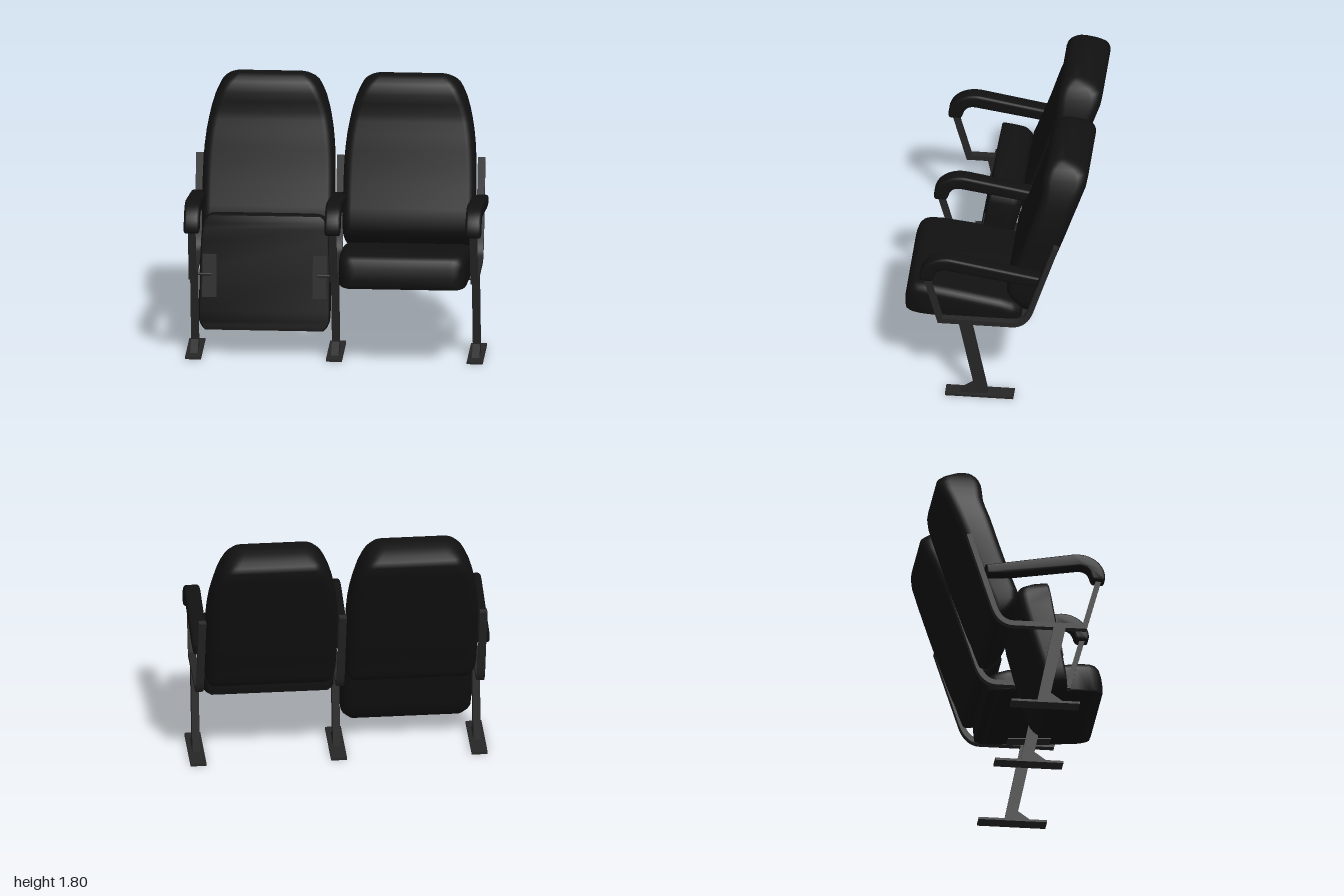
import * as THREE from 'three';
import { mergeVertices, toCreasedNormals } from 'three/addons/utils/BufferGeometryUtils.js';

const fabric = new THREE.MeshStandardMaterial({ color: 0x111111 });
const metal = new THREE.MeshStandardMaterial({ color: 0x262626 });

function part(name, geometry, material, x = 0, y = 0, z = 0) {
  const mesh = new THREE.Mesh(geometry, material);
  mesh.name = name;
  mesh.position.set(x, y, z);
  return mesh;
}

// Rounded-rectangle sections stacked along z; row = [z, yLow, yHigh, halfWidth]
function loft(rows, radiusLow, radiusHigh) {
  const steps = 6, pos = [], index = [];
  for (const [s, lo, hi, half] of rows) {
    const rl = Math.min(radiusLow, (hi - lo) * 0.48);
    const rh = Math.min(radiusHigh, (hi - lo) * 0.5);
    const corners = [[half - rh, hi - rh, rh], [-half + rh, hi - rh, rh],
      [-half + rl, lo + rl, rl], [half - rl, lo + rl, rl]];
    corners.forEach(([cx, cy, r], c) => {
      for (let i = 0; i <= steps; i++) {
        const a = (c + i / steps) * Math.PI / 2;
        pos.push(cx + r * Math.cos(a), cy + r * Math.sin(a), s);
      }
    });
  }
  const n = 4 * (steps + 1), last = rows.length - 1;
  for (let j = 0; j < last; j++) {
    for (let k = 0; k < n; k++) {
      const a = j * n + k, b = j * n + (k + 1) % n;
      index.push(a, b, b + n, a, b + n, a + n);
    }
  }
  // End caps
  for (const j of [0, last]) {
    const [s, lo, hi] = rows[j], centre = pos.length / 3;
    pos.push(0, (lo + hi) / 2, s);
    for (let k = 0; k < n; k++) {
      const a = j * n + k, b = j * n + (k + 1) % n;
      if (j) index.push(centre, a, b); else index.push(centre, b, a);
    }
  }
  const g = new THREE.BufferGeometry();
  g.setAttribute('position', new THREE.Float32BufferAttribute(pos, 3));
  g.setIndex(index);
  return toCreasedNormals(mergeVertices(g), 0.95);
}

// Side outline in (z, y), extruded across x and centred
function sideExtrude(shape, width, bevel = 0) {
  const depth = width - 2 * bevel;
  const g = new THREE.ExtrudeGeometry(shape, {
    depth, curveSegments: 10, bevelEnabled: bevel > 0,
    bevelSize: bevel, bevelThickness: bevel, bevelOffset: -bevel, bevelSegments: 4,
  });
  g.translate(0, 0, -depth / 2).rotateY(-Math.PI / 2);
  return toCreasedNormals(g, 0.6);
}

// Flat bar of constant thickness following a path
function ribbon(path, thickness) {
  const pts = path.getPoints(8), a = [], b = [];
  pts.forEach((p, i) => {
    const d0 = p.clone().sub(pts[Math.max(i - 1, 0)]).normalize();
    const d1 = pts[Math.min(i + 1, pts.length - 1)].clone().sub(p).normalize();
    const t = d0.clone().add(d1).normalize();
    const cos = t.dot(d1.lengthSq() ? d1 : d0);
    const off = new THREE.Vector2(-t.y, t.x).multiplyScalar(thickness / 2 / cos);
    a.push(p.clone().add(off));
    b.unshift(p.clone().sub(off));
  });
  return new THREE.Shape([...a, ...b]);
}

function createBackrest() {
  const rows = [
    [0.645, 0.19, 0.225, 0.37], [0.66, 0.175, 0.25, 0.405], [0.70, 0.14, 0.265, 0.43],
    [0.75, 0.10, 0.285, 0.44], [0.80, 0.077, 0.30, 0.443], [0.87, 0.08, 0.33, 0.443],
    [0.95, 0.11, 0.36, 0.443], [1.10, 0.165, 0.412, 0.443], [1.22, 0.205, 0.455, 0.44],
    [1.32, 0.235, 0.49, 0.434], [1.42, 0.265, 0.525, 0.422], [1.50, 0.293, 0.555, 0.407],
    [1.55, 0.306, 0.573, 0.395], [1.62, 0.31, 0.60, 0.373], [1.68, 0.314, 0.612, 0.346],
    [1.72, 0.325, 0.607, 0.325], [1.75, 0.338, 0.575, 0.303], [1.78, 0.36, 0.52, 0.275],
    [1.797, 0.39, 0.465, 0.24],
  ];
  return part('backrest', loft(rows, 0.06, 0.08).rotateX(-Math.PI / 2), fabric);
}

// Cushion with its origin at the lower rear edge
function createSeat() {
  const seat = new THREE.Group();
  seat.name = 'seat';
  const rows = [
    [-0.012, 0.085, 0.105, 0.37], [0, 0, 0.125, 0.40], [0.03, 0.002, 0.142, 0.425],
    [0.06, 0.003, 0.156, 0.437], [0.13, 0.006, 0.177, 0.44], [0.40, 0.02, 0.223, 0.437],
    [0.60, 0.029, 0.252, 0.43], [0.68, 0.033, 0.257, 0.425], [0.72, 0.035, 0.25, 0.415],
    [0.75, 0.036, 0.23, 0.397], [0.77, 0.037, 0.18, 0.375], [0.78, 0.06, 0.12, 0.345],
  ];
  seat.add(part('seatCushion', loft(rows, 0.015, 0.065), fabric));
  for (const side of [-1, 1]) {
    const plate = part('hingePlate', new THREE.BoxGeometry(0.095, 0.012, 0.29), metal,
      side * 0.37, 0.016, 0.365);
    plate.rotation.x = -0.048;
    seat.add(plate);
  }
  return seat;
}

function createStand() {
  const stand = new THREE.Group();
  stand.name = 'stand';
  stand.add(part('footPlate', new THREE.BoxGeometry(0.107, 0.016, 0.46), metal, 0, 0.008, 0.095));

  const leg = new THREE.Shape([[0.235, 0.58], [0.133, 0.085], [0.23, 0.015], [0.04, 0.015], [0.152, 0.58]]
    .map(([z, y]) => new THREE.Vector2(z, y)));
  stand.add(part('leg', sideExtrude(leg, 0.05), metal));

  const rail = new THREE.Path();
  rail.moveTo(-0.417, 1.23);
  rail.lineTo(-0.25, 0.71);
  rail.quadraticCurveTo(-0.21, 0.588, -0.12, 0.588);
  rail.lineTo(0.362, 0.588);
  rail.lineTo(0.46, 0.95);
  stand.add(part('sideRail', sideExtrude(ribbon(rail, 0.036), 0.05), metal));

  const arm = new THREE.Shape();
  arm.moveTo(-0.31, 1.0);
  arm.lineTo(0.28, 1.107);
  arm.bezierCurveTo(0.40, 1.125, 0.49, 1.05, 0.498, 0.96);
  arm.quadraticCurveTo(0.50, 0.925, 0.485, 0.922);
  arm.lineTo(0.425, 0.922);
  arm.quadraticCurveTo(0.405, 0.925, 0.398, 0.96);
  arm.quadraticCurveTo(0.38, 1.025, 0.31, 1.015);
  arm.lineTo(-0.16, 0.94);
  arm.lineTo(-0.30, 0.93);
  stand.add(part('armrest', sideExtrude(arm, 0.105, 0.018), fabric));
  return stand;
}

export function createModel() {
  const model = new THREE.Group();
  model.name = 'seatRow';
  const spacing = 0.945;

  for (const i of [-1, 0, 1]) {
    const stand = createStand();
    stand.position.x = i * spacing;
    model.add(stand);
  }

  for (const side of [-1, 1]) {
    const x = side * spacing / 2;
    const back = createBackrest();
    back.position.x = x;

    // The right seat is tipped up, the left one is open
    const seat = createSeat();
    seat.name = side < 0 ? 'foldedSeat' : 'openSeat';
    if (side < 0) {
      seat.position.set(x, 0.19, 0.257);
      seat.rotation.x = -THREE.MathUtils.degToRad(97);
    } else seat.position.set(x, 0.553, -0.17);
    model.add(back, seat);

    // Pivot pins between seat and stands
    for (const end of [-1, 1]) {
      const pin = new THREE.CylinderGeometry(0.009, 0.009, 0.11, 10).rotateZ(Math.PI / 2);
      model.add(part('pivotPin', pin, metal, x + end * 0.41, 0.56, 0.2));
    }
  }
  return model;
}
